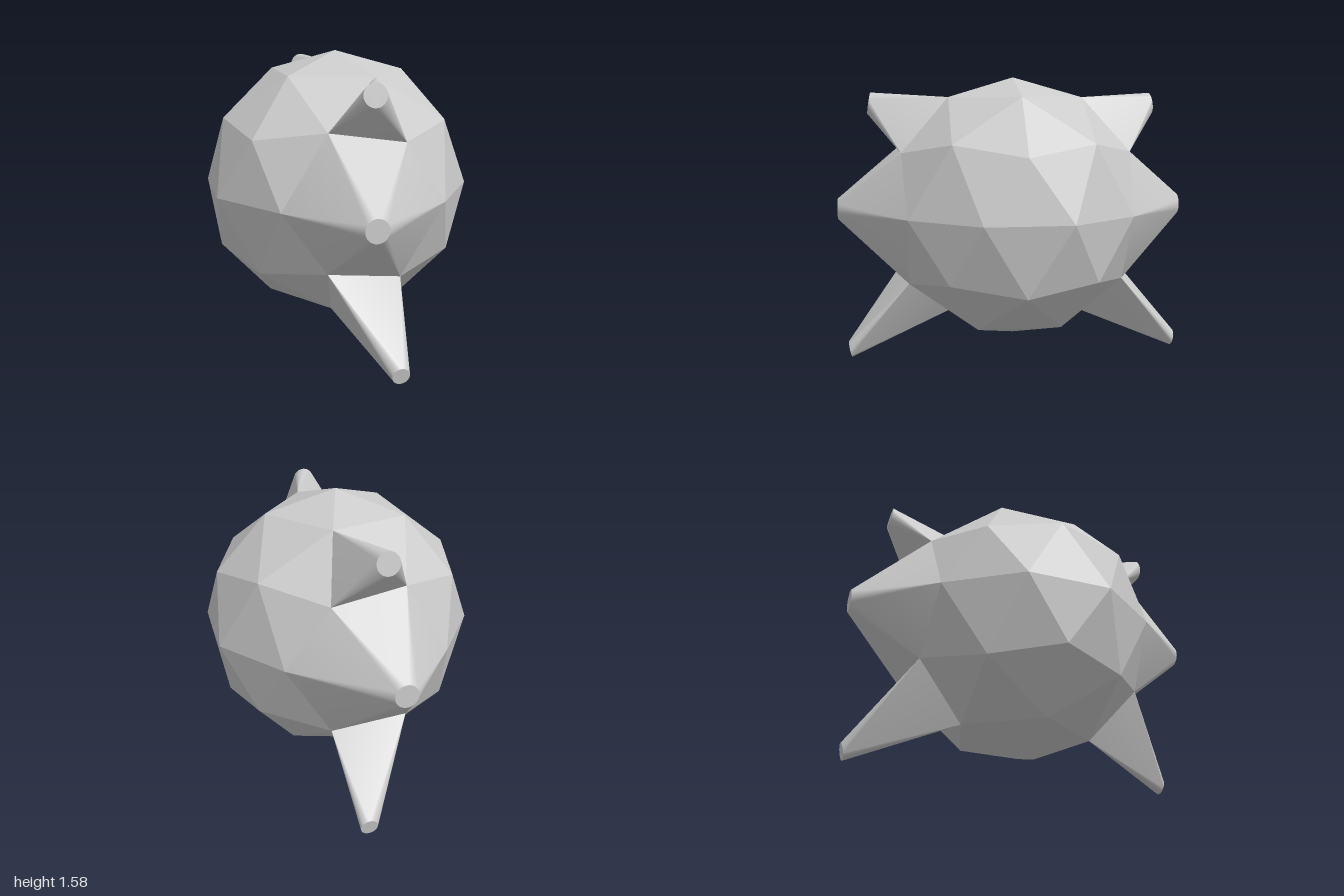
import * as THREE from 'three';
import { toCreasedNormals } from 'three/addons/utils/BufferGeometryUtils.js';
import { ConvexGeometry } from 'three/addons/geometries/ConvexGeometry.js';

const R = 0.745, CY = 0.835;

// Point on the faceted ball: elevation and azimuth in degrees (azimuth 90 = front)
const EQ = 0, MID = 31.717, RING = 26.565, CAP = 58.283;
function ballPoint(elevation, azimuth) {
  const e = THREE.MathUtils.degToRad(elevation), a = THREE.MathUtils.degToRad(azimuth);
  return new THREE.Vector3(R * Math.cos(e) * Math.cos(a), CY + R * Math.sin(e), R * Math.cos(e) * Math.sin(a));
}

// Rim of a round end cap, tilted up or down about the x axis
function rim([x, y, z], radius, tilt, segments = 32) {
  const points = [];
  for (let i = 0; i < segments; i++) {
    const t = (i / segments) * Math.PI * 2, s = radius * Math.sin(t);
    points.push(new THREE.Vector3(x + radius * Math.cos(t), y + s * Math.cos(tilt), z - s * Math.sin(tilt)));
  }
  return points;
}

// Facets of the ball blended into a round tip
const spouts = [
  { name: 'Nose', tip: [-0.062, CY, 1.0], radius: 0.061, tilt: 0,
    base: [[EQ, 54], [RING, 72], [MID, 108], [EQ, 126], [-RING, 108], [-MID, 72]] },
  { name: 'UpperHorn', tip: [-0.02, 1.435, 0.81], radius: 0.06, tilt: 0.16,
    base: [[RING, 72], [MID, 108], [CAP, 72]] },
  { name: 'LowerLeg', tip: [0.09, 0.05, 0.94], radius: 0.046, tilt: -0.2,
    base: [[-RING, 108], [-MID, 72], [-CAP, 108]] },
];

export function createModel() {
  const group = new THREE.Group();
  const smooth = new THREE.MeshStandardMaterial({ color: 0xcccccc });
  const flat = new THREE.MeshStandardMaterial({ color: 0xcccccc, flatShading: true });

  // Faceted ball with a vertex at each pole
  const ball = new THREE.IcosahedronGeometry(R, 1);
  ball.rotateZ(-Math.atan2(2, 1 + Math.sqrt(5)));
  ball.translate(0, CY, 0);
  const body = new THREE.Mesh(ball, flat);
  body.name = 'body';
  group.add(body);

  // Each spout appears at the front and mirrored at the back
  for (const { name, tip, radius, tilt, base } of spouts) {
    for (const side of [1, -1]) {
      const points = [...base.map(([e, a]) => ballPoint(e, a)), ...rim(tip, radius, tilt)];
      points.forEach((p) => { p.z *= side; });
      const mesh = new THREE.Mesh(toCreasedNormals(new ConvexGeometry(points), 0.25), smooth);
      mesh.name = (side > 0 ? 'front' : 'back') + name;
      group.add(mesh);
    }
  }
  return group;
}
